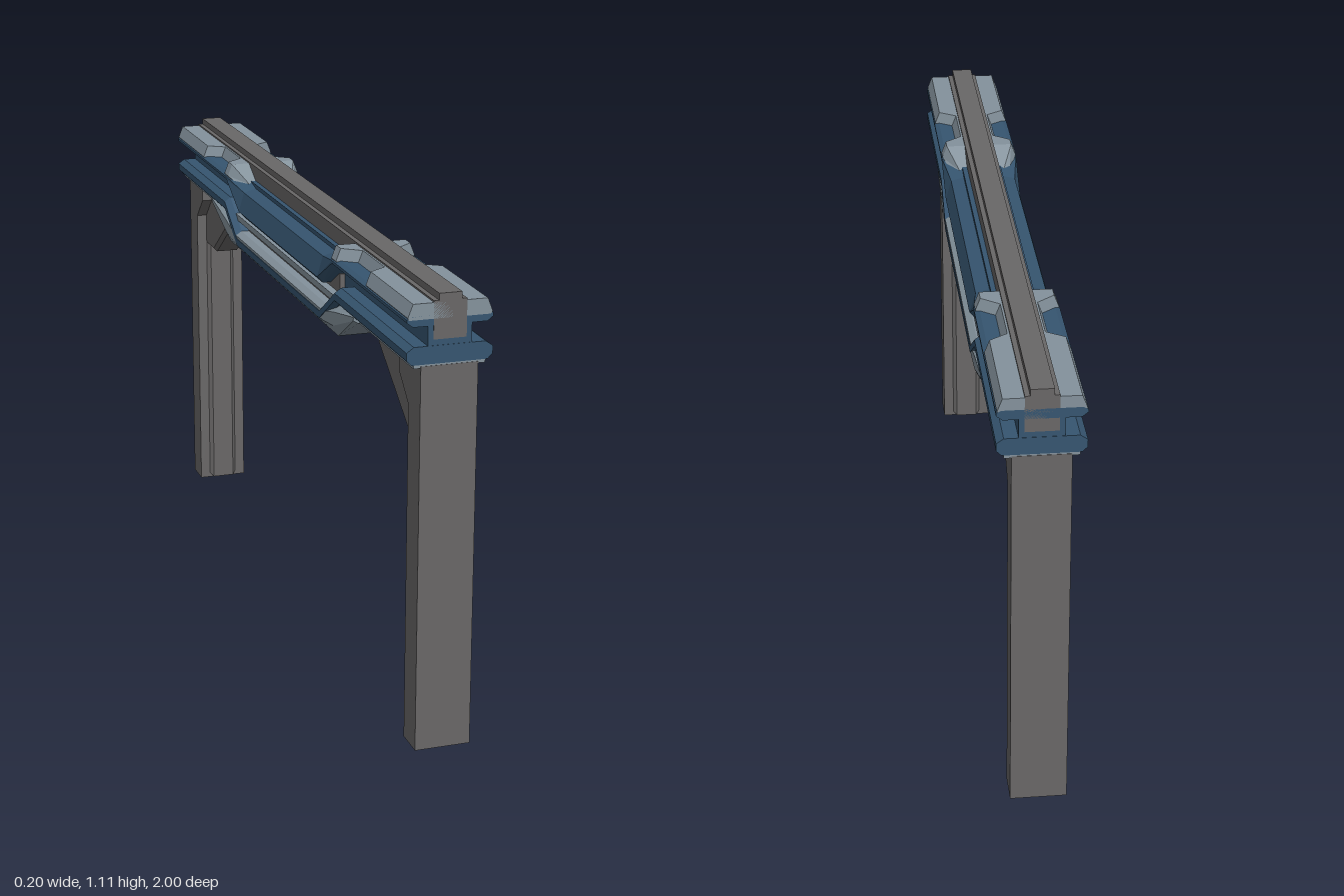
import * as THREE from 'three';

const mat = (name, color) => {
  const m = new THREE.MeshStandardMaterial({ color, flatShading: true });
  m.name = name;
  return m;
};

// Skin a closed hull through rings; each section is { z, half: [[x, y], ...] } from top to bottom,
// listed from the front end to the middle and mirrored both across x and along z.
function loft(sections) {
  const all = [...sections, ...sections.slice().reverse().map(s => ({ z: -s.z, half: s.half }))];
  const rings = all.map(({ z, half }) => [
    ...half.map(([x, y]) => [x, y, z]),
    ...half.slice().reverse().map(([x, y]) => [-x, y, z]),
  ]);
  const pos = [];
  const n = rings[0].length;
  for (let i = 0; i < rings.length - 1; i++) {
    for (let j = 0; j < n; j++) {
      const k = (j + 1) % n;
      const a = rings[i][j], b = rings[i][k], c = rings[i + 1][j], d = rings[i + 1][k];
      pos.push(...a, ...b, ...c, ...b, ...d, ...c);
    }
  }
  const first = rings[0], last = rings[rings.length - 1];
  for (let j = 1; j < n - 1; j++) {
    pos.push(...first[0], ...first[j + 1], ...first[j]);
    pos.push(...last[0], ...last[j], ...last[j + 1]);
  }
  const g = new THREE.BufferGeometry();
  g.setAttribute('position', new THREE.Float32BufferAttribute(pos, 3));
  g.computeVertexNormals();
  return g;
}

// Extrude a (z, y) side outline to a total width along x
function sidePlate(outline, width, bevel) {
  const shape = new THREE.Shape(outline.map(([z, y]) => new THREE.Vector2(z, y)));
  const g = new THREE.ExtrudeGeometry(shape, {
    depth: width - 2 * bevel, bevelEnabled: bevel > 0, bevelSegments: 1,
    bevelThickness: bevel, bevelSize: bevel, bevelOffset: -bevel,
  });
  g.translate(0, 0, -(width - 2 * bevel) / 2);
  return g.rotateY(-Math.PI / 2);
}

export function createModel() {
  const model = new THREE.Group();
  const steel = mat('dark grey', 0x696767);
  const blue = mat('slate blue', 0x365570);
  const light = mat('light grey', 0x84929c);

  const add = (name, geometry, material, parent = model) => {
    const mesh = new THREE.Mesh(geometry, material);
    mesh.name = name;
    parent.add(mesh);
    return mesh;
  };
  const box = (name, w, y0, y1, length, material) =>
    add(name, new THREE.BoxGeometry(w, y1 - y0, length).translate(0, (y0 + y1) / 2, 0), material);

  // Central rail along the top, with a low step either side
  box('topRail', 0.054, 1.0, 1.105, 2, steel);
  box('railStep', 0.078, 1.0, 1.089, 2, steel);

  // Web inside the side channel
  box('beamWeb', 0.104, 0.95, 1.05, 1.998, blue);
  box('middleWeb', 0.13, 0.89, 1.0, 0.84, steel);

  // Upper flange, deeper and lower in the middle
  const flangeEnd = [[0.09, 1.056], [0.102, 1.05], [0.102, 1.043], [0.088, 1.032]];
  const flangeMid = [[0.03, 1.045], [0.086, 1.03], [0.101, 0.978], [0.086, 0.962]];
  add('upperFlange', loft([
    { z: 1, half: flangeEnd }, { z: 0.47, half: flangeEnd }, { z: 0.35, half: flangeMid },
  ]), blue);

  // Lower flange, dipping into the belly
  const lower = (z, t) => ({ z, half: [[0.085, t], [0.102, t - 0.012], [0.102, t - 0.03], [0.09, t - 0.042]] });
  add('lowerFlange', loft([lower(1, 0.986), lower(0.49, 0.986), lower(0.37, 0.909)]), blue);

  // Pale strip under the beam ends
  box('undersideStrip', 0.17, 0.936, 0.952, 1.998, light);

  // Belly hanging below the middle
  const belly = (z, t, b) => ({
    z, half: [[0.085, t], [0.101, t - 0.2 * (t - b)], [0.101, b + 0.35 * (t - b)], [0.088, b]],
  });
  add('belly', loft([belly(0.63, 0.957, 0.937), belly(0.48, 0.94, 0.863), belly(0.4, 0.915, 0.863)]), light);

  // Notched cover plates on top of each end
  const plan = [[1, 0.1], [0.715, 0.1], [0.685, 0.056], [0.53, 0.056], [0.495, 0.1], [0.46, 0.1]];
  const cover = plan.map(([z, x]) => ({
    z, half: [[x - 0.012, 1.085], [x, 1.054], [x - 0.003, 1.048]],
  }));
  // Covers taper away and pass through the rail below the middle surface
  cover.push({ z: 0.385, half: [[0.06, 1.044], [0.075, 1.03], [0.07, 1.02]] });
  cover.push({ z: 0.36, half: [[0.03, 1.02], [0.035, 1.01], [0.03, 1.0]] });
  add('topCovers', loft(cover), light);

  // Two legs with bracket ribs
  for (const [name, turn] of [['frontLeg', 0], ['backLeg', Math.PI]]) {
    const leg = new THREE.Group();
    leg.name = name;
    leg.rotation.y = turn;
    add('post', sidePlate([
      [1, 0], [1, 0.94], [0.858, 0.94], [0.858, 0.89], [0.922, 0.83], [0.922, 0],
    ], 0.136, 0), steel, leg);
    add('bracketRib', sidePlate([
      [0.96, 0.003], [0.96, 0.946], [0.63, 0.946], [0.63, 0.885], [0.84, 0.738], [0.912, 0.738], [0.912, 0.003],
    ], 0.08, 0.01), steel, leg);
    model.add(leg);
  }
  return model;
}
